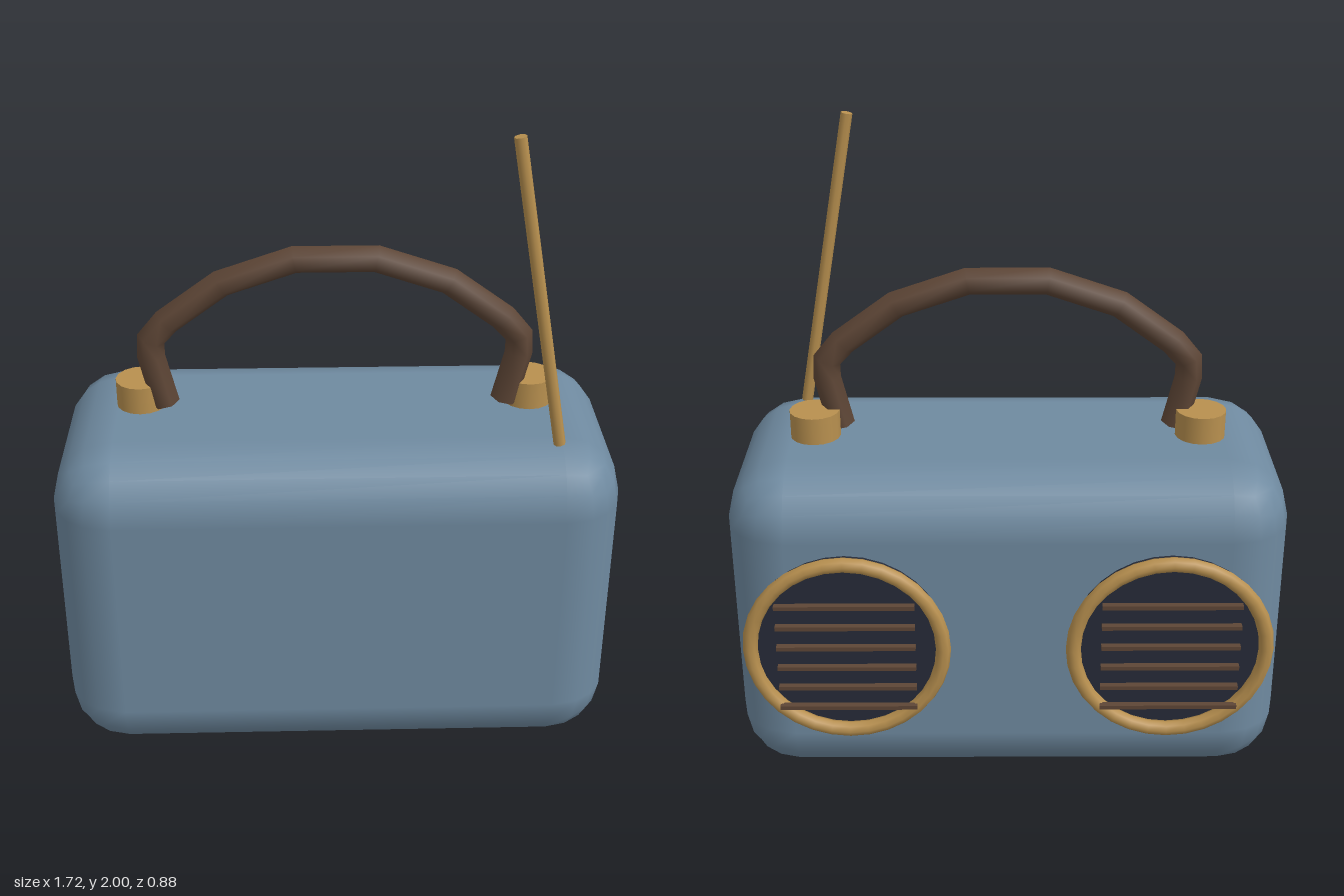
import * as THREE from 'three';
import { RoundedBoxGeometry } from 'three/addons/geometries/RoundedBoxGeometry.js';
import { ParametricGeometry } from 'three/addons/geometries/ParametricGeometry.js';

const paint = (color, extra = {}) => new THREE.MeshStandardMaterial({ color, ...extra });

function addMesh(parent, name, geometry, material, x = 0, y = 0, z = 0) {
  const mesh = new THREE.Mesh(geometry, material);
  mesh.name = name;
  mesh.position.set(x, y, z);
  parent.add(mesh);
  return mesh;
}

// Six-sided tube in the xy plane, with one edge facing outward
function handleGeometry(radius) {
  const half = [[0.523, 1.074], [0.56, 1.233], [0.558, 1.291], [0.508, 1.349], [0.341, 1.471], [0.122, 1.545]];
  const points = [
    ...half.map(([x, y]) => new THREE.Vector3(-x, y, 0)),
    ...half.slice().reverse().map(([x, y]) => new THREE.Vector3(x, y, 0)),
  ];
  const curve = new THREE.CatmullRomCurve3(points);
  return new ParametricGeometry((u, v, target) => {
    const t = THREE.MathUtils.clamp(u, 0, 1);
    const p = curve.getPoint(t);
    const d = curve.getTangent(t);
    const a = v * Math.PI * 2;
    const r = radius * Math.cos(a);
    target.set(p.x - d.y * r, p.y + d.x * r, radius * Math.sin(a));
  }, points.length - 1, 6);
}

export function createModel() {
  const model = new THREE.Group();
  model.name = 'portableRadio';
  const blue = paint(0x6f8aa0);
  const brass = paint(0xb8904f);
  const leather = paint(0x5e4636, { side: THREE.DoubleSide });
  const dark = paint(0x262b38);

  // Case
  addMesh(model, 'body', new RoundedBoxGeometry(1.718, 1.058, 0.808, 2, 0.19), blue, 0, 0.525, 0.035);

  // Carrying handle and its mounts
  addMesh(model, 'handle', handleGeometry(0.043), leather, 0, 0, 0.038);
  for (const side of [-1, 1]) {
    addMesh(model, 'handleMount', new THREE.CylinderGeometry(0.078, 0.078, 0.1, 16), brass, side * 0.6, 1.09, 0);
  }

  // Leaning antenna
  const base = new THREE.Vector3(0.66, 1.05, 0.285);
  const tip = new THREE.Vector3(0.488, 1.997, 0.285);
  const rod = tip.clone().sub(base);
  const antenna = addMesh(model, 'antenna', new THREE.CylinderGeometry(0.018, 0.018, rod.length(), 8), brass);
  antenna.position.copy(base).addScaledVector(rod, 0.5);
  antenna.quaternion.setFromUnitVectors(new THREE.Vector3(0, 1, 0), rod.normalize());

  // Speakers on the rear face: dark disc, brass rim, horizontal slats
  for (const side of [-1, 1]) {
    const speaker = new THREE.Group();
    speaker.name = side > 0 ? 'leftSpeaker' : 'rightSpeaker';
    speaker.position.set(side * 0.49, 0.527, 0);
    const disc = new THREE.CylinderGeometry(0.3, 0.3, 0.03, 32).rotateX(Math.PI / 2);
    addMesh(speaker, 'speakerCone', disc, dark, 0, 0, -0.375);
    addMesh(speaker, 'speakerRim', new THREE.TorusGeometry(0.293, 0.023, 8, 32), brass, 0, 0, -0.41);
    for (let i = 0; i < 6; i++) {
      addMesh(speaker, 'grilleSlat', new THREE.BoxGeometry(0.42, 0.013, 0.02), leather, 0, -0.194 + i * 0.071, -0.432);
    }
    model.add(speaker);
  }

  return model;
}
